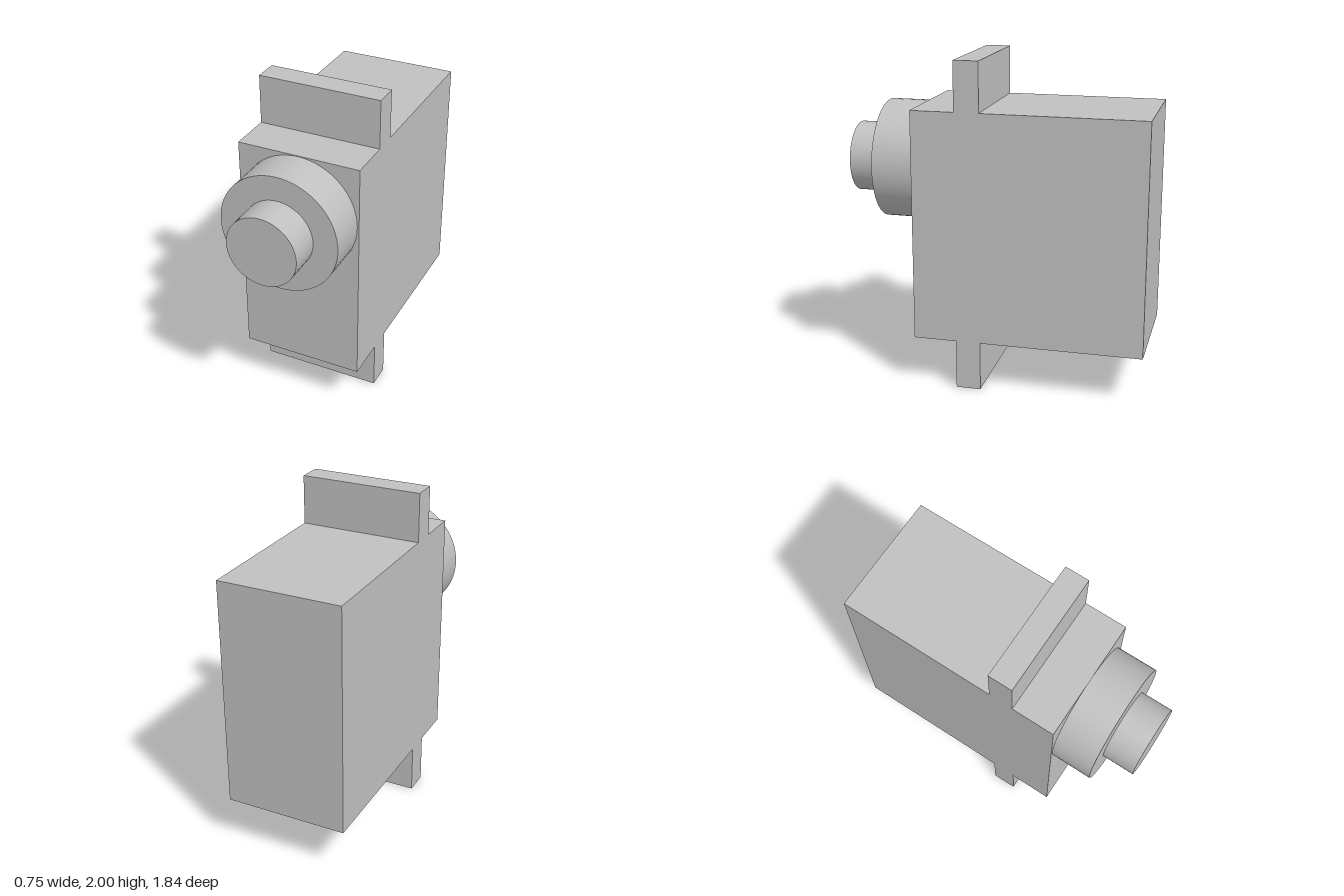
import * as THREE from 'three';

export function createModel() {
  const group = new THREE.Group();
  const grey = new THREE.MeshStandardMaterial({ color: 0xc0c0c0 });
  grey.name = 'light grey';

  const add = (name, geometry, x, y, z) => {
    const mesh = new THREE.Mesh(geometry, grey);
    mesh.name = name;
    mesh.position.set(x, y, z);
    group.add(mesh);
  };

  const width = 0.748;
  const bottom = 0.3, top = 1.703, back = -0.92, front = 0.475;

  // Main housing
  add('housing', new THREE.BoxGeometry(width, top - bottom, front - back),
    0, (top + bottom) / 2, (front + back) / 2);

  // Mounting ears above and below the housing
  for (const [name, y0, y1] of [['lowerEar', 0, bottom], ['upperEar', top, 2]]) {
    add(name, new THREE.BoxGeometry(width, y1 - y0, 0.15), 0, (y0 + y1) / 2, 0.136);
  }

  // Round collar and output shaft, lying along z
  const disc = (name, radius, z0, z1) => {
    const geometry = new THREE.CylinderGeometry(radius, radius, z1 - z0, 64).rotateX(Math.PI / 2);
    add(name, geometry, 0, 1.336, (z0 + z1) / 2);
  };
  disc('collar', 0.363, front, 0.724);
  disc('outputShaft', 0.214, 0.724, 0.92);

  return group;
}
